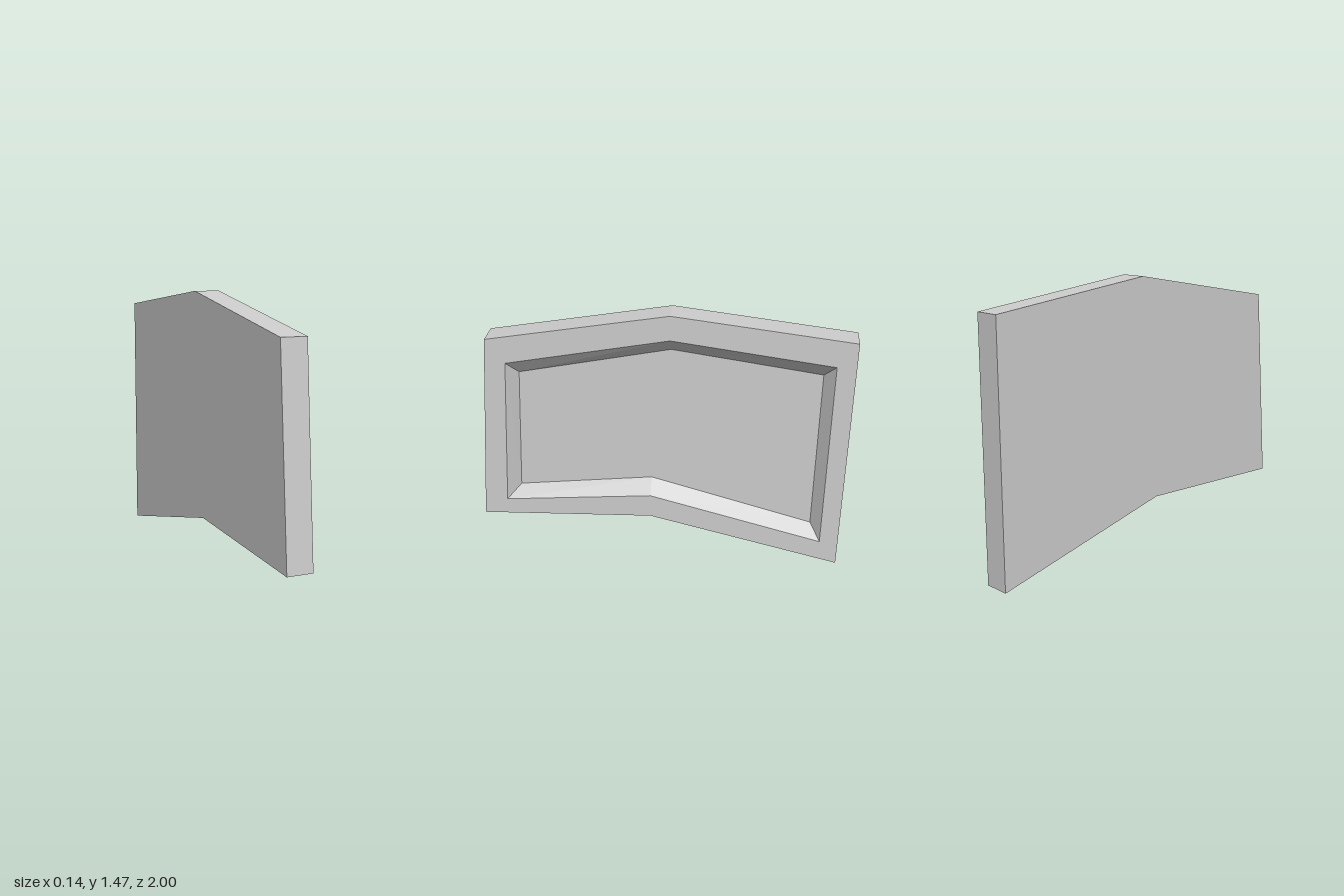
import * as THREE from 'three';

// Outlines as [z, y], counter-clockwise seen from +x
const OUTER = [[1, 0.2], [0.05, 0.245], [-1, 0], [-1, 1.36], [-0.055, 1.465], [0.91, 1.29]];
const RIM = [[0.865, 0.3], [0.05, 0.38], [-0.9, 0.14], [-0.9, 1.225], [-0.055, 1.33], [0.81, 1.158]];
const FLOOR = [[0.795, 0.365], [0.05, 0.46], [-0.843, 0.22], [-0.843, 1.145], [-0.055, 1.25], [0.757, 1.077]];
const HALF = 0.07;
const FLOOR_X = 0;

const ring = (outline, x) => outline.map(([z, y]) => [x, y, z]);

// Band of quads joining two matching rings
function band(a, b) {
  return a.flatMap((p, i) => {
    const j = (i + 1) % a.length;
    return [p, a[j], b[j], p, b[j], b[i]];
  });
}

// Flat face filling a ring, facing +x or (flipped) -x
function cap(r, flip = false) {
  const contour = r.map(([, y, z]) => new THREE.Vector2(-z, y));
  return THREE.ShapeUtils.triangulateShape(contour, [])
    .flatMap(([a, b, c]) => (flip ? [r[a], r[c], r[b]] : [r[a], r[b], r[c]]));
}

function part(name, points, material) {
  const geometry = new THREE.BufferGeometry();
  geometry.setAttribute('position', new THREE.Float32BufferAttribute(points.flat(), 3));
  geometry.computeVertexNormals();
  const mesh = new THREE.Mesh(geometry, material);
  mesh.name = name;
  return mesh;
}

export function createModel() {
  const group = new THREE.Group();
  group.name = 'recessedPanel';
  const grey = new THREE.MeshStandardMaterial({ color: 0xcccccc });
  grey.name = 'lightGrey';

  const back = ring(OUTER, -HALF);
  const front = ring(OUTER, HALF);
  const lip = ring(RIM, HALF);
  const floor = ring(FLOOR, FLOOR_X);

  group.add(
    part('backFace', cap(back, true), grey),
    part('outerEdge', band(back, front), grey),
    part('frameFace', band(front, lip), grey),
    part('recessBevel', band(lip, floor), grey),
    part('recessFloor', cap(floor), grey),
  );
  return group;
}
